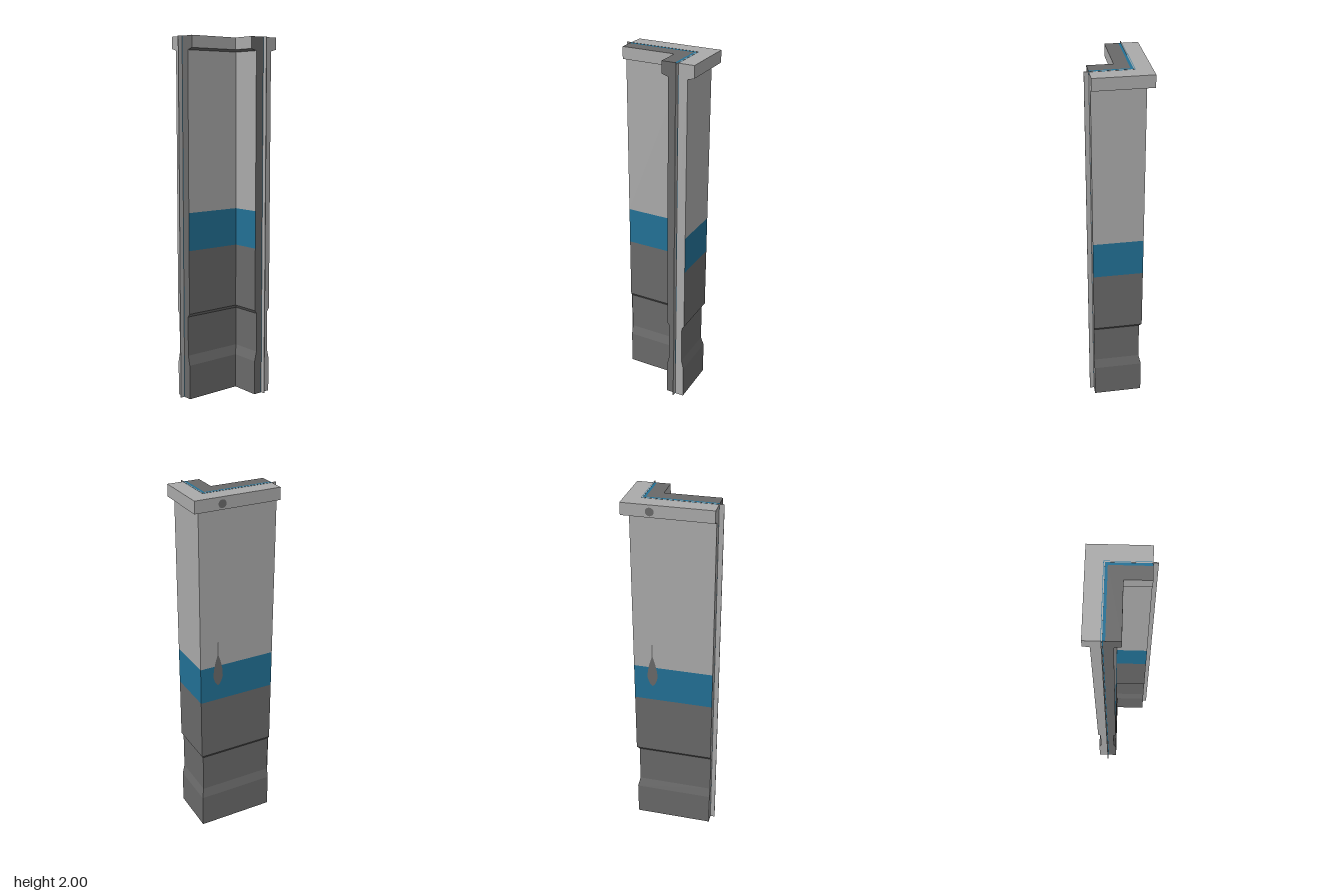
import * as THREE from 'three';

// Centre lines of the two legs, and where each leg ends
const CX = -0.0785, CZ = -0.161, END_Z = 0.225, END_X = 0.143;

// Wall section: [half width, height, colour of the face rising from this level]
const PROFILE = [
  [0.053, 0, 'dark'],
  [0.053, 0.195, 'dark'],
  [0.040, 0.25, 'dark'],
  [0.040, 0.472, 'dark'],
  [0.053, 0.49, 'dark'],
  [0.053, 0.845, 'blue'],
  [0.053, 1.055, 'light'],
  [0.053, 1.925, 'dark'],
  [0.0885, 1.935, 'light'],
  [0.0885, 2.0, 'light'],
];

export function createModel() {
  const group = new THREE.Group();
  const make = (name, color) => {
    const m = new THREE.MeshStandardMaterial({ color });
    m.name = name;
    return m;
  };
  const materials = {
    light: make('lightGrey', 0xaaaaaa),
    blue: make('stripeBlue', 0x227095),
    dark: make('darkGrey', 0x696969),
  };

  function add(name, geometry, colour) {
    const mesh = new THREE.Mesh(geometry, materials[colour]);
    mesh.name = name;
    group.add(mesh);
    return mesh;
  }

  // Collects quads by colour
  const points = { light: [], blue: [], dark: [] };
  const quad = (colour, a, b, c, d) => points[colour].push(...a, ...b, ...c, ...a, ...c, ...d);

  // Points at offset d from the centre line (positive is the inner side)
  const front = (d, y) => [CX + d, y, END_Z];
  const corner = (d, y) => [CX + d, y, CZ + d];
  const side = (d, y) => [END_X, y, CZ + d];

  // One face of the section, swept round the corner
  function strip(colour, d0, y0, d1, y1) {
    quad(colour, front(d0, y0), corner(d0, y0), corner(d1, y1), front(d1, y1));
    quad(colour, corner(d0, y0), side(d0, y0), side(d1, y1), corner(d1, y1));
  }

  // Splits a width into light outer, blue middle and dark inner bands
  const bands = (w, b0, b1) => [['light', -w, b0], ['blue', b0, b1], ['dark', b1, w]];

  // Wall faces and leg ends
  for (let i = 0; i < PROFILE.length - 1; i++) {
    const [w0, y0, colour] = PROFILE[i], [w1, y1] = PROFILE[i + 1];
    strip(colour, w0, y0, w1, y1);
    strip(colour, -w1, y1, -w0, y0);
    const lower = bands(w0, -0.004, 0.006), upper = bands(w1, -0.004, 0.006);
    lower.forEach(([c, a, b], k) => {
      const [, p, q] = upper[k];
      quad(c, front(a, y0), front(b, y0), front(q, y1), front(p, y1));
      quad(c, side(b, y0), side(a, y0), side(p, y1), side(q, y1));
    });
  }
  // Top and underside
  for (const [c, a, b] of bands(0.0885, -0.005, 0.016)) strip(c, b, 2, a, 2);
  for (const [c, a, b] of bands(0.053, -0.004, 0.006)) strip(c, a, 0, b, 0);

  for (const colour of Object.keys(points)) {
    const g = new THREE.BufferGeometry();
    g.setAttribute('position', new THREE.Float32BufferAttribute(points[colour], 3));
    g.computeVertexNormals();
    add(colour + 'WallSurfaces', g, colour);
  }

  // Thin joining blade inside each leg, standing out at the ends
  const T = 0.005, zLen = 0.25 - CZ, xLen = 0.167 - CX;
  add('frontBlade', new THREE.BoxGeometry(T, 2, zLen), 'light').position.set(CX, 1.001, CZ + zLen / 2);
  add('sideBlade', new THREE.BoxGeometry(xLen, 2, T), 'light').position.set(CX + xLen / 2, 1.001, CZ);

  // Dark stain and spot on the outer long face
  const stain = new THREE.Shape();
  stain.moveTo(-0.002, 1.2);
  stain.lineTo(-0.003, 1.12);
  stain.quadraticCurveTo(-0.03, 1.04, -0.028, 0.99);
  stain.quadraticCurveTo(-0.02, 0.95, 0, 0.935);
  stain.quadraticCurveTo(0.02, 0.95, 0.028, 0.99);
  stain.quadraticCurveTo(0.03, 1.04, 0.003, 1.12);
  stain.lineTo(0.002, 1.2);
  const drip = add('stain', new THREE.ShapeGeometry(stain, 5), 'dark');
  drip.rotation.y = -Math.PI / 2;
  drip.position.set(CX - 0.0545, 0, -0.11);
  const spot = add('capSpot', new THREE.CircleGeometry(0.022, 16), 'dark');
  spot.rotation.y = -Math.PI / 2;
  spot.position.set(CX - 0.09, 1.965, -0.1);

  return group;
}
